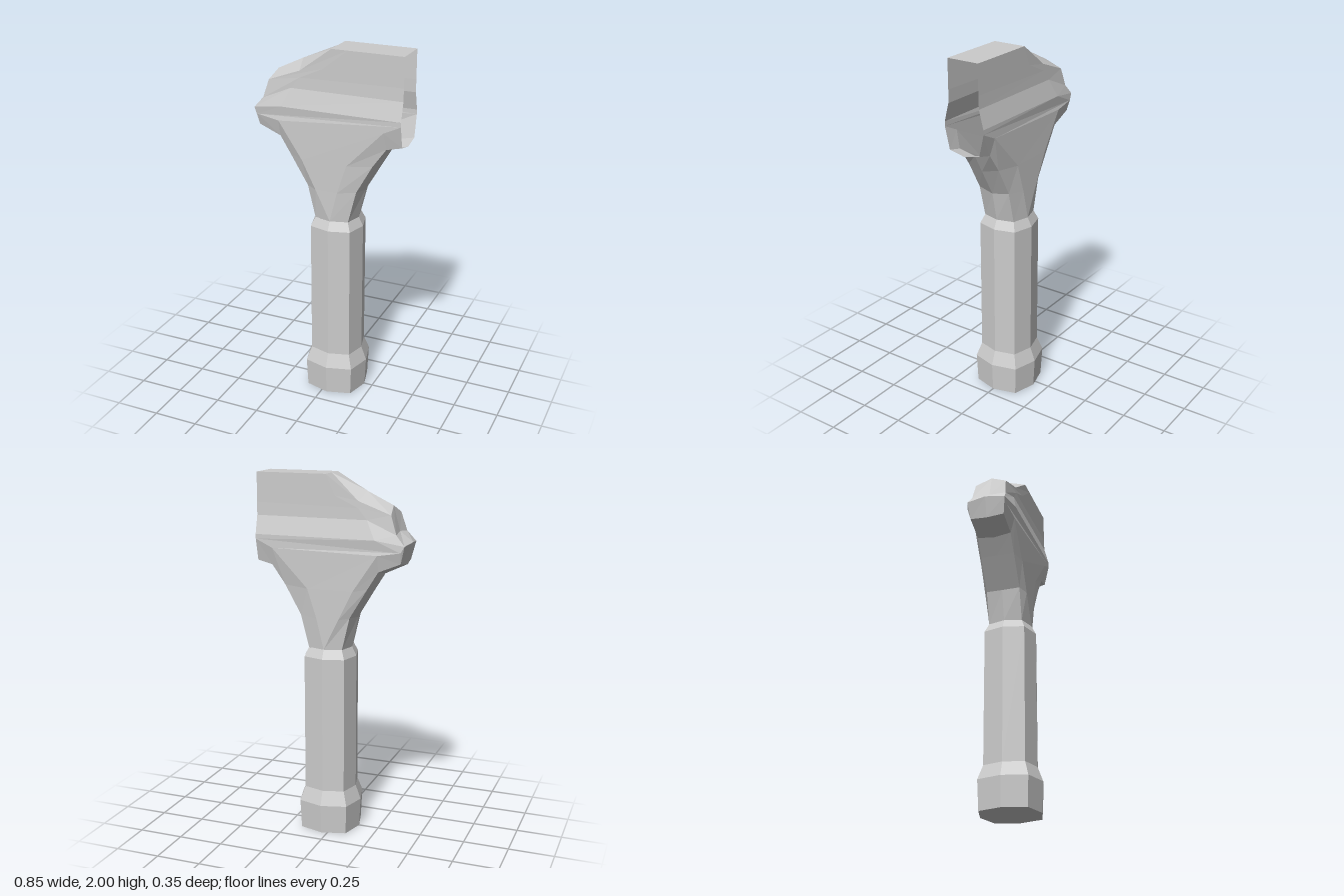
import * as THREE from 'three';

// Skins a stack of rings; skip(row, side) leaves openings, caps close the ends
function loft(name, rings, { bottom = false, top = null, skip = () => false } = {}) {
  const pos = [];
  const tri = (a, b, c) => pos.push(...a, ...b, ...c);
  for (let r = 0; r < rings.length - 1; r++) {
    const a = rings[r], b = rings[r + 1], n = a.length;
    for (let i = 0; i < n; i++) {
      if (skip(r, i)) continue;
      const j = (i + 1) % n;
      tri(a[i], a[j], b[j]);
      tri(a[i], b[j], b[i]);
    }
  }
  if (bottom) {
    const a = rings[0];
    for (let i = 1; i < a.length - 1; i++) tri(a[0], a[i + 1], a[i]);
  }
  if (top) {
    const ring = rings[rings.length - 1];
    const b = top.map((i) => ring[i]);
    for (let i = 1; i < b.length - 1; i++) tri(b[0], b[i], b[i + 1]);
  }
  const geo = new THREE.BufferGeometry();
  geo.setAttribute('position', new THREE.Float32BufferAttribute(pos, 3));
  geo.computeVertexNormals();
  const mesh = new THREE.Mesh(geo, new THREE.MeshStandardMaterial({
    color: 0xcccccc, flatShading: true, side: THREE.DoubleSide,
  }));
  mesh.name = name;
  return mesh;
}

// Completes a front half ring with its mirror image at the back
function mirrorRing(half) {
  const back = half.slice(1, -1).reverse().map(([x, y, z]) => [x, y, -z]);
  return [...half, ...back];
}

// Squarish octagon around the handle axis
const AXIS = 0.033;
function octagon(y, r) {
  return mirrorRing([[-r, 0], [-0.79 * r, 0.78 * r], [0, r], [0.79 * r, 0.78 * r], [r, 0]]
    .map(([x, z]) => [AXIS + x, y, z]));
}

export function createModel() {
  const group = new THREE.Group();
  group.name = 'hammer';

  // Handle: pommel, grip and bevelled neck
  const handleRings = [[0, 0.168], [0.165, 0.176], [0.245, 0.146], [1.01, 0.146], [1.06, 0.121]]
    .map(([y, r]) => octagon(y, r));
  group.add(loft('handle', handleRings, { bottom: true }));

  // Head, flared part: left ridge, left edge, left and right of the front face, right edge, right ridge
  const flare = [
    [[-0.088, 1.06, 0], [-0.063, 1.06, 0.094], [AXIS, 1.06, 0.121], [AXIS, 1.06, 0.121], [0.129, 1.06, 0.094], [0.154, 1.06, 0]],
    [[-0.122, 1.23, 0], [-0.106, 1.24, 0.095], [-0.05, 1.23, 0.12], [0.075, 1.23, 0.12], [0.175, 1.24, 0.095], [0.19, 1.225, 0]],
    [[-0.222, 1.395, 0], [-0.206, 1.405, 0.095], [-0.13, 1.39, 0.12], [0.127, 1.39, 0.12], [0.265, 1.4, 0.095], [0.28, 1.38, 0]],
    [[-0.275, 1.48, 0], [-0.265, 1.5, 0.095], [-0.265, 1.59, 0.118], [0.33, 1.6, 0.12], [0.34, 1.505, 0.095], [0.34, 1.485, 0]],
    [[-0.397, 1.537, 0], [-0.387, 1.55, 0.095], [-0.39, 1.61, 0.112], [0.425, 1.645, 0.12], [0.425, 1.525, 0.092], [0.425, 1.505, 0]],
  ];
  // Head, upper part: stepped on the left, open on the right
  const upper = [
    [[-0.425, 1.655, 0], [-0.41, 1.645, 0.108], [-0.25, 1.67, 0.12], [0.425, 1.67, 0.12]],
    [[-0.352, 1.71, 0], [-0.362, 1.7, 0.098], [-0.2, 1.77, 0.094], [0.425, 1.77, 0.094]],
    [[-0.315, 1.842, 0], [-0.33, 1.8, 0.088], [-0.15, 1.83, 0.092], [0.425, 1.84, 0.092]],
    [[-0.17, 1.912, 0], [-0.15, 1.867, 0.09], [-0.02, 1.89, 0.092], [0.425, 1.9, 0.092]],
    [[0.03, 2, 0], [0.03, 2, 0.092], [0.12, 2, 0.092], [0.425, 2, 0.092]],
  ].map((row) => {
    const [x, y, z] = row[3];
    return [...row, [x, y, z], [x, y, 0]];
  });
  group.add(loft('head', [...flare, ...upper].map(mirrorRing), {
    top: [0, 1, 3, 7, 9],
    skip: (r, i) => r >= 4 && i >= 3 && i <= 6,
  }));

  return group;
}
